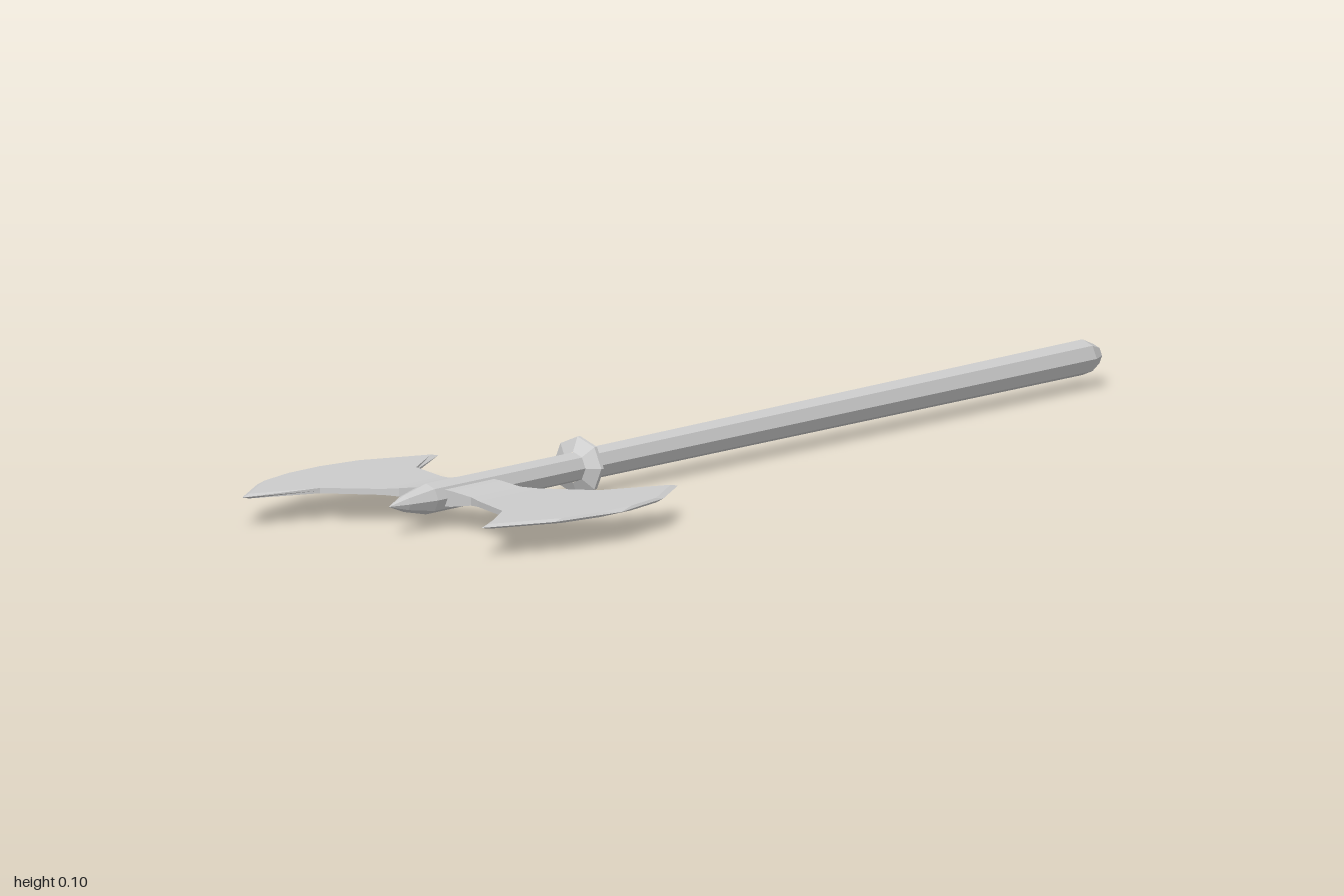
import * as THREE from 'three';

const AXIS_Y = 0.052;
const material = new THREE.MeshStandardMaterial({ color: 0xcccccc, flatShading: true });

// Eight-sided turned part along z, from [radius, z] pairs with rising z
function turned(name, profile) {
  const points = profile.map(([r, z]) => new THREE.Vector2(r, z));
  const geometry = new THREE.LatheGeometry(points, 8).rotateX(Math.PI / 2);
  const mesh = new THREE.Mesh(geometry, material);
  mesh.name = name;
  return mesh;
}

// One blade lofted outward along +x through six-sided sections
function bladeGeometry() {
  // x, lower z, upper z, half thickness, bevel width
  const stations = [
    [0, 0.66, 0.795, 0.016, 0],
    [0.035, 0.66, 0.795, 0.013, 0],
    [0.075, 0.66, 0.795, 0.007, 0],
    [0.1, 0.647, 0.808, 0.005, 0],
    [0.19, 0.598, 0.86, 0.0045, 0],
    [0.25, 0.46, 0.995, 0.004, 0.02],
    [0.31, 0.578, 0.875, 0.004, 0.02],
    [0.325, 0.665, 0.79, 0.004, 0.02],
    [0.337, 0.728, 0.728, 0, 0],
  ];
  const positions = [], index = [];
  for (const [x, z0, z1, h, bevel] of stations) {
    positions.push(
      x, 0, z0, x, h, z0 + bevel, x, h, z1 - bevel,
      x, 0, z1, x, -h, z1 - bevel, x, -h, z0 + bevel);
  }
  for (let i = 0; i < stations.length - 1; i++) {
    for (let j = 0; j < 6; j++) {
      const a = i * 6 + j, b = i * 6 + (j + 1) % 6;
      index.push(a, b, a + 6, b, b + 6, a + 6);
    }
  }
  const geometry = new THREE.BufferGeometry();
  geometry.setAttribute('position', new THREE.Float32BufferAttribute(positions, 3));
  geometry.setIndex(index);
  geometry.computeVertexNormals();
  return geometry;
}

export function createModel() {
  const axe = new THREE.Group();
  axe.name = 'doubleAxe';

  // Handle with chamfered butt
  axe.add(turned('handle', [[0, -1], [0.018, -1], [0.03, -0.97], [0.027, 0.4], [0, 0.4]]));
  // Collar between handle and head
  axe.add(turned('collar', [[0.026, 0.388], [0.05, 0.4], [0.05, 0.407], [0.026, 0.419]]));
  // Upper shaft ending in a spike
  axe.add(turned('spike', [[0.025, 0.4], [0.026, 0.82], [0.014, 0.88], [0, 0.922]]));

  // Mirrored pair of blades
  const geometry = bladeGeometry();
  ['leftBlade', 'rightBlade'].forEach((name, i) => {
    const blade = new THREE.Mesh(geometry, material);
    blade.name = name;
    blade.rotation.z = i * Math.PI;
    axe.add(blade);
  });

  axe.children.forEach((part) => { part.position.y = AXIS_Y; });
  return axe;
}
